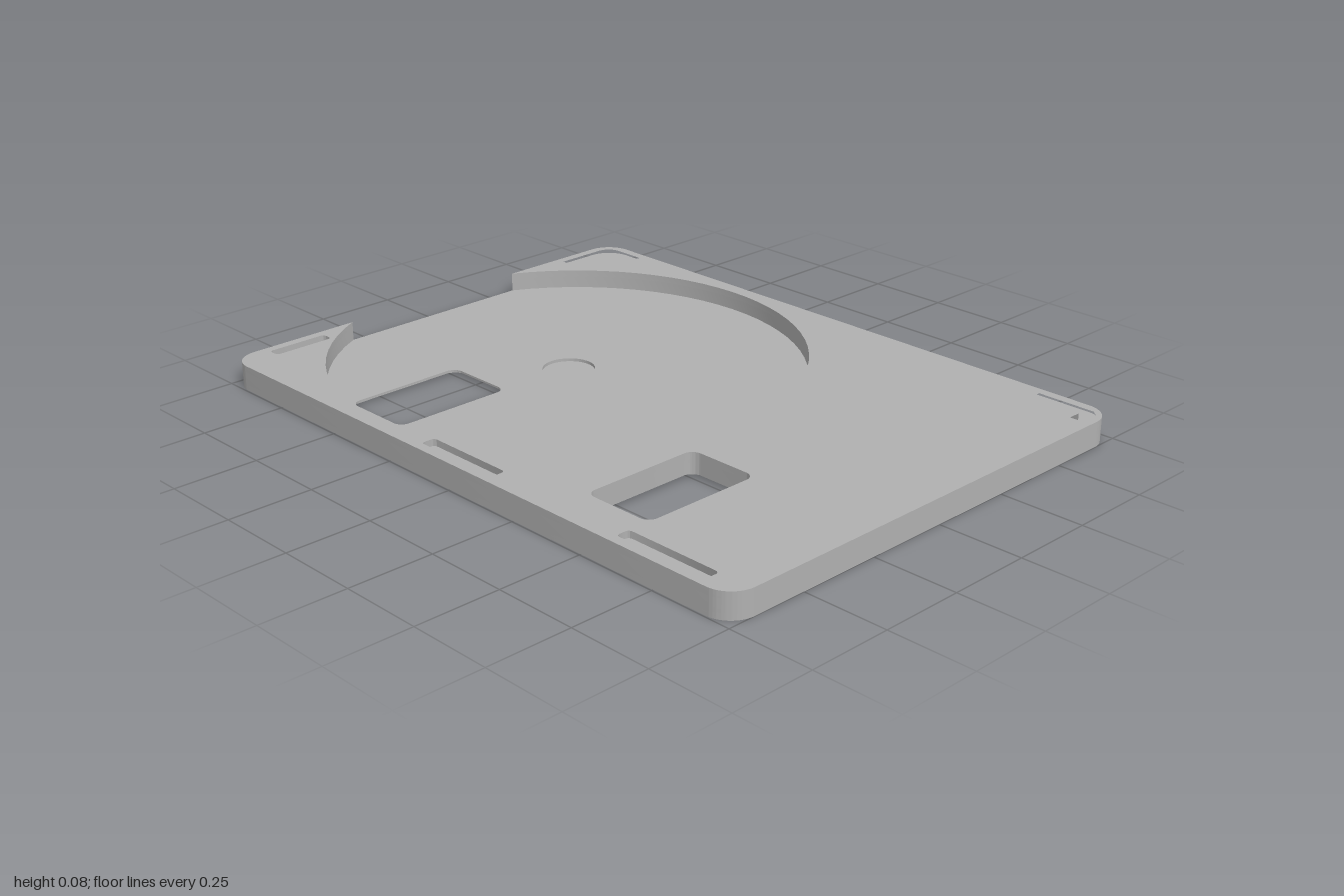
import * as THREE from 'three';
import { toCreasedNormals } from 'three/addons/utils/BufferGeometryUtils.js';

const W = 1, D = 0.745, R = 0.08;               // half width, half depth, corner radius
const CX = -0.375, PR = 0.7;                    // round pocket centre and radius
const Y = { hub: 0.009, step: 0.012, floor: 0.018, slot: 0.055, top: 0.075 };

// Shapes are drawn in plan with y = -z.
function roundRect(path, x0, x1, z0, z1, r) {
  const a = -z1, b = -z0, q = Math.PI / 2;
  path.moveTo(x0 + r, a);
  path.absarc(x1 - r, a + r, r, -q, 0, false);
  path.absarc(x1 - r, b - r, r, 0, q, false);
  path.absarc(x0 + r, b - r, r, q, 2 * q, false);
  path.absarc(x0 + r, a + r, r, 2 * q, 3 * q, false);
  path.closePath();
  return path;
}

const outline = () => roundRect(new THREE.Shape(), -W, W, -D, D, R);

// Outline with the round pocket cut away, open at the left edge
function pocketOutline() {
  const s = new THREE.Shape(), q = Math.PI / 2;
  const a = Math.acos((W + CX) / PR), h = PR * Math.sin(a);
  s.moveTo(-W, h);
  s.lineTo(-W, D - R);
  s.absarc(-W + R, D - R, R, 2 * q, q, true);
  s.absarc(W - R, D - R, R, q, 0, true);
  s.absarc(W - R, -D + R, R, 0, -q, true);
  s.absarc(-W + R, -D + R, R, -q, -2 * q, true);
  s.lineTo(-W, -h);
  s.absarc(CX, 0, PR, a - Math.PI, Math.PI - a, false);
  return s;
}

// Rectangular through window, optionally enlarged by m
const windowHole = (x0, x1, m = 0) =>
  roundRect(new THREE.Path(), x0 - m, x1 + m, 0.24 - m, 0.612 + m, 0.03 + m / 2);
const windowA = m => windowHole(-0.605, -0.38, m);
const windowB = m => windowHole(0.375, 0.597, m);

const slot = (x0, x1, z0, z1) => roundRect(new THREE.Path(), x0, x1, z0, z1, 0.012);
const poly = pts => new THREE.Path(pts.map(([x, z]) => new THREE.Vector2(x, -z)));

// Shallow grooves around the rim
function grooves() {
  const cornerArc = [];
  for (let i = 0; i <= 6; i++) {
    const t = i / 6 * Math.PI / 2;
    cornerArc.push([-0.928 - 0.045 * Math.cos(t), -0.672 - 0.045 * Math.sin(t)]);
  }
  return [
    poly([[-0.973, -0.513], ...cornerArc, [-0.826, -0.717], [-0.826, -0.678], [-0.935, -0.678], [-0.935, -0.513]]),
    poly([[0.775, -0.717], [0.955, -0.717], [0.973, -0.7], [0.973, -0.482], [0.933, -0.482], [0.933, -0.678], [0.775, -0.678]]),
    slot(-0.973, -0.935, 0.44, 0.63),
    poly([[0.933, 0.44], [0.973, 0.44], [0.973, 0.664], [0.933, 0.65]]),
    poly([[-0.91, 0.674], [-0.63, 0.674], [-0.63, 0.716], [-0.936, 0.716], [-0.936, 0.7], [-0.915, 0.69]]),
    slot(-0.15, 0.137, 0.674, 0.716),
    slot(0.594, 0.895, 0.674, 0.716),
  ];
}

export function createModel() {
  const group = new THREE.Group();
  const grey = new THREE.MeshStandardMaterial({ color: 0xb0b0b0 });
  grey.name = 'plain grey';

  // One horizontal slice of the tray
  function layer(name, shape, holes, y0, y1) {
    shape.holes.push(...holes);
    let geo = new THREE.ExtrudeGeometry(shape, { depth: y1 - y0, bevelEnabled: false, curveSegments: 32 });
    geo.rotateX(-Math.PI / 2);
    geo.translate(0, y0, 0);
    geo = toCreasedNormals(geo, 0.6);
    const mesh = new THREE.Mesh(geo, grey);
    mesh.name = name;
    group.add(mesh);
  }

  const hub = () => new THREE.Path().absarc(CX, 0, 0.077, 0, Math.PI * 2, false);
  const m = 0.02;   // wider step of the windows on the underside

  layer('basePlate', outline(), [windowA(m), windowB(m)], 0, Y.hub);
  layer('windowStep', outline(), [windowA(m), windowB(m), hub()], Y.hub, Y.step);
  layer('pocketFloor', outline(), [windowA(0), windowB(0), hub()], Y.step, Y.floor);
  layer('trayBody', pocketOutline(), [windowB(0)], Y.floor, Y.slot);
  layer('groovedTop', pocketOutline(), [windowB(0), ...grooves()], Y.slot, Y.top);

  return group;
}
